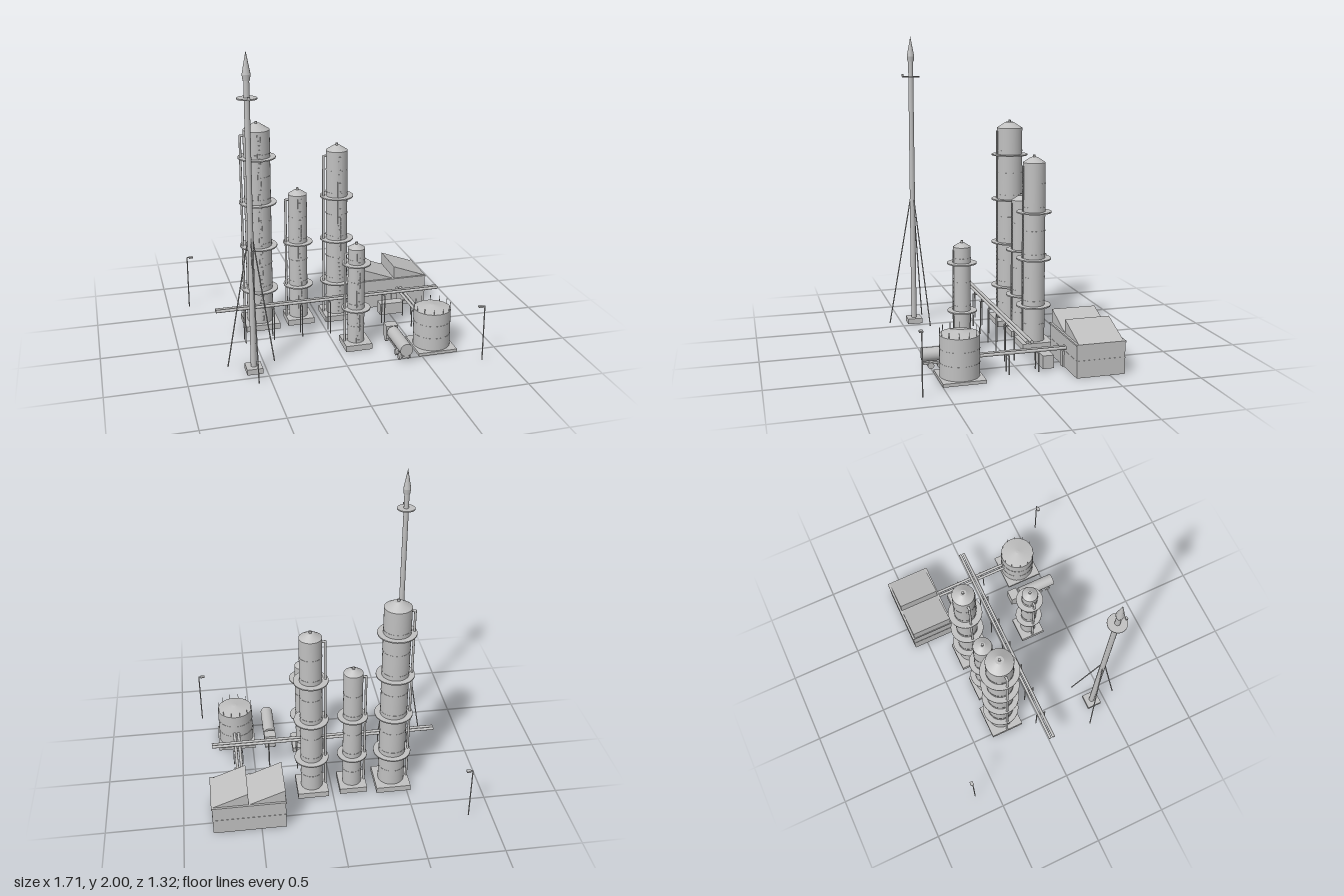
import * as THREE from 'three';

const steel = new THREE.MeshStandardMaterial({ color: 0xc0c0c0 });
steel.name = 'plain grey';

function add(parent, name, geometry, x = 0, y = 0, z = 0) {
  const mesh = new THREE.Mesh(geometry, steel);
  mesh.name = name;
  mesh.position.set(x, y, z);
  parent.add(mesh);
  return mesh;
}

// Box given by its centre in x and z and its bottom in y
const box = (parent, name, w, h, d, x, y, z) =>
  add(parent, name, new THREE.BoxGeometry(w, h, d), x, y + h / 2, z);

// Upright cylinder or cone standing on y
const drum = (parent, name, rTop, rBottom, h, x, y, z, sides = 32) =>
  add(parent, name, new THREE.CylinderGeometry(rTop, rBottom, h, sides), x, y + h / 2, z);

// Straight round bar between two points
function bar(parent, name, a, b, r, sides = 12) {
  const from = new THREE.Vector3(...a), to = new THREE.Vector3(...b);
  const dir = to.clone().sub(from);
  const mesh = add(parent, name, new THREE.CylinderGeometry(r, r, dir.length(), sides));
  mesh.position.copy(from).add(to).multiplyScalar(0.5);
  mesh.quaternion.setFromUnitVectors(new THREE.Vector3(0, 1, 0), dir.normalize());
  return mesh;
}

function group(parent, name, x = 0, z = 0) {
  const g = new THREE.Group();
  g.name = name;
  g.position.set(x, 0, z);
  parent.add(g);
  return g;
}

// Distillation column with pad, cap, platforms, ladder and side pipe
function column(parent, { x, z, r, top, pad, deck, levels }) {
  const g = group(parent, 'column', x, z);
  const capH = r * 0.45, pipeX = -r - 0.02, pipeTop = top - 0.037;
  box(g, 'columnPad', pad, 0.04, pad, 0, 0, 0);
  drum(g, 'columnShell', r, r, top - 0.04, 0, 0.04, 0);
  drum(g, 'columnCap', r * 0.3, r, capH, 0, top, 0);
  drum(g, 'columnVent', 0.009, 0.009, 0.014, 0, top + capH, 0, 12);
  for (let y = 0.15; y < top - 0.05; y += 0.153) {
    drum(g, 'weldBand', r + 0.0015, r + 0.0015, 0.006, 0, y, 0);
  }
  for (const y of levels) drum(g, 'platform', deck, deck, 0.008, 0, y - 0.004, 0);
  for (const s of [-1, 1]) box(g, 'ladderRail', 0.003, top - 0.06, 0.004, s * 0.011, 0.04, r + 0.002);
  for (let y = 0.06; y < top - 0.03; y += 0.03) {
    box(g, 'ladderRung', 0.022, 0.003, 0.003, 0, y, r + 0.002);
  }
  bar(g, 'sidePipe', [pipeX, 0.04, 0], [pipeX, pipeTop, 0], 0.008);
  add(g, 'pipeElbow', new THREE.SphereGeometry(0.008, 12, 8), pipeX, pipeTop, 0);
  bar(g, 'pipeInlet', [pipeX, pipeTop, 0], [-r + 0.01, pipeTop, 0], 0.008);
}

// Flare stack held by three guy wires
function flareStack(parent) {
  const g = group(parent, 'flareStack', -0.58, 0.41);
  box(g, 'flarePad', 0.1, 0.036, 0.1, 0, 0, 0);
  drum(g, 'flarePipe', 0.017, 0.019, 1.8, 0, 0.036, 0, 16);
  drum(g, 'flareDeck', 0.06, 0.06, 0.008, 0, 1.724, 0, 24);
  box(g, 'deckLight', 0.016, 0.016, 0.012, 0, 1.73, 0.056);
  drum(g, 'flareTip', 0.026, 0.021, 0.035, 0, 1.83, 0, 12);
  drum(g, 'flareCone', 0, 0.026, 0.135, 0, 1.865, 0, 12);
  for (let i = 0; i < 3; i++) {
    const a = Math.PI / 2 + i * Math.PI * 2 / 3, c = Math.cos(a), s = Math.sin(a);
    bar(g, 'guyWire', [c * 0.172, 0.005, s * 0.172], [c * 0.012, 0.9, s * 0.012], 0.004, 8);
  }
}

// Long pipe rack and the lower branch to the storage tank
function pipework(parent) {
  const g = group(parent, 'pipeRack');
  for (const z of [-0.018, 0.008]) {
    bar(g, 'rackPipe', [-0.75, 0.241, z], [0.787, 0.241, z], 0.01);
  }
  for (let i = 0; i < 6; i++) {
    const x = -0.56 + i * 0.192;
    box(g, 'rackBeam', 0.007, 0.008, 0.07, x, 0.223, 0);
    for (const z of [-0.031, 0.031]) box(g, 'rackPost', 0.006, 0.225, 0.006, x, 0, z);
  }
  for (const x of [0.597, 0.625]) {
    bar(g, 'branchPipe', [x, 0.13, -0.3], [x, 0.13, 0.27], 0.01);
  }
  for (const z of [-0.11, 0.075]) {
    box(g, 'branchBeam', 0.07, 0.008, 0.007, 0.611, 0.112, z);
    for (const x of [0.58, 0.642]) box(g, 'branchPost', 0.006, 0.114, 0.006, x, 0, z);
  }
}

// Storage tank with a ring of railing posts
function storageTank(parent) {
  const g = group(parent, 'storageTank', 0.61, 0.37);
  box(g, 'tankPad', 0.26, 0.02, 0.26, 0, 0, 0);
  drum(g, 'tankShell', 0.12, 0.12, 0.252, 0, 0.02, 0, 40);
  drum(g, 'tankRoof', 0.01, 0.12, 0.022, 0, 0.272, 0, 40);
  for (const y of [0.1, 0.185]) drum(g, 'tankBand', 0.1215, 0.1215, 0.006, 0, y, 0, 40);
  for (let i = 0; i < 12; i++) {
    const a = (i + 0.5) * Math.PI / 6;
    drum(g, 'railingPost', 0.002, 0.002, 0.04, Math.cos(a) * 0.117, 0.268, Math.sin(a) * 0.117, 6);
  }
}

// Hall with a sawtooth roof
function hall(parent) {
  const g = group(parent, 'hall', 0.575, -0.443);
  box(g, 'hallWalls', 0.47, 0.2, 0.306, 0, 0, 0);
  box(g, 'hallEaves', 0.48, 0.01, 0.314, 0, 0.196, 0);
  box(g, 'wallBand', 0.474, 0.006, 0.31, 0, 0.1, 0);
  const wedge = new THREE.Shape([
    new THREE.Vector2(0, 0), new THREE.Vector2(0.233, 0), new THREE.Vector2(0, 0.088)]);
  const roof = new THREE.ExtrudeGeometry(wedge, { depth: 0.286, bevelEnabled: false });
  for (const x of [-0.235, 0.002]) add(g, 'sawtoothRoof', roof, x, 0.205, -0.143);
  box(g, 'hallDoor', 0.04, 0.1, 0.012, 0, 0, 0.158);
}

// Tank truck and a small equipment box
function yard(parent) {
  const g = group(parent, 'tankTruck', 0.376, 0);
  box(g, 'truckChassis', 0.05, 0.014, 0.34, 0, 0.026, 0.375);
  box(g, 'truckCab', 0.08, 0.09, 0.07, 0, 0.03, 0.232);
  bar(g, 'truckTank', [0, 0.083, 0.282], [0, 0.083, 0.55], 0.042, 24);
  for (const z of [0.235, 0.44, 0.5]) {
    for (const x of [-0.03, 0.03]) {
      bar(g, 'truckWheel', [x - 0.008, 0.02, z], [x + 0.008, 0.02, z], 0.02, 16);
    }
  }
  const p = group(parent, 'equipmentBox', 0.515, -0.187);
  box(p, 'equipmentHousing', 0.17, 0.082, 0.07, 0, 0, 0);
}

// Lamp post whose arm points towards the middle
function lampPost(parent, x, z) {
  const g = group(parent, 'lampPost', x, z);
  const s = -Math.sign(x);
  drum(g, 'lampPole', 0.004, 0.004, 0.375, 0, 0, 0, 8);
  bar(g, 'lampArm', [0, 0.375, 0], [s * 0.03, 0.375, 0], 0.004, 8);
  box(g, 'lampHead', 0.028, 0.01, 0.022, s * 0.027, 0.369, 0);
}

export function createModel() {
  const model = new THREE.Group();
  model.name = 'refinery';
  const columns = [
    { x: -0.41, z: -0.243, r: 0.088, top: 1.38, pad: 0.232, deck: 0.125, levels: [0.27, 0.58, 0.885, 1.195] },
    { x: -0.14, z: -0.243, r: 0.063, top: 0.92, pad: 0.184, deck: 0.1, levels: [0.27, 0.58] },
    { x: 0.133, z: -0.243, r: 0.073, top: 1.205, pad: 0.205, deck: 0.113, levels: [0.27, 0.58, 0.885] },
    { x: 0.133, z: 0.235, r: 0.055, top: 0.685, pad: 0.175, deck: 0.094, levels: [0.27, 0.58] },
  ];
  for (const c of columns) column(model, c);
  flareStack(model);
  pipework(model);
  storageTank(model);
  hall(model);
  yard(model);
  lampPost(model, -0.852, -0.65);
  lampPost(model, 0.852, 0.643);
  return model;
}
